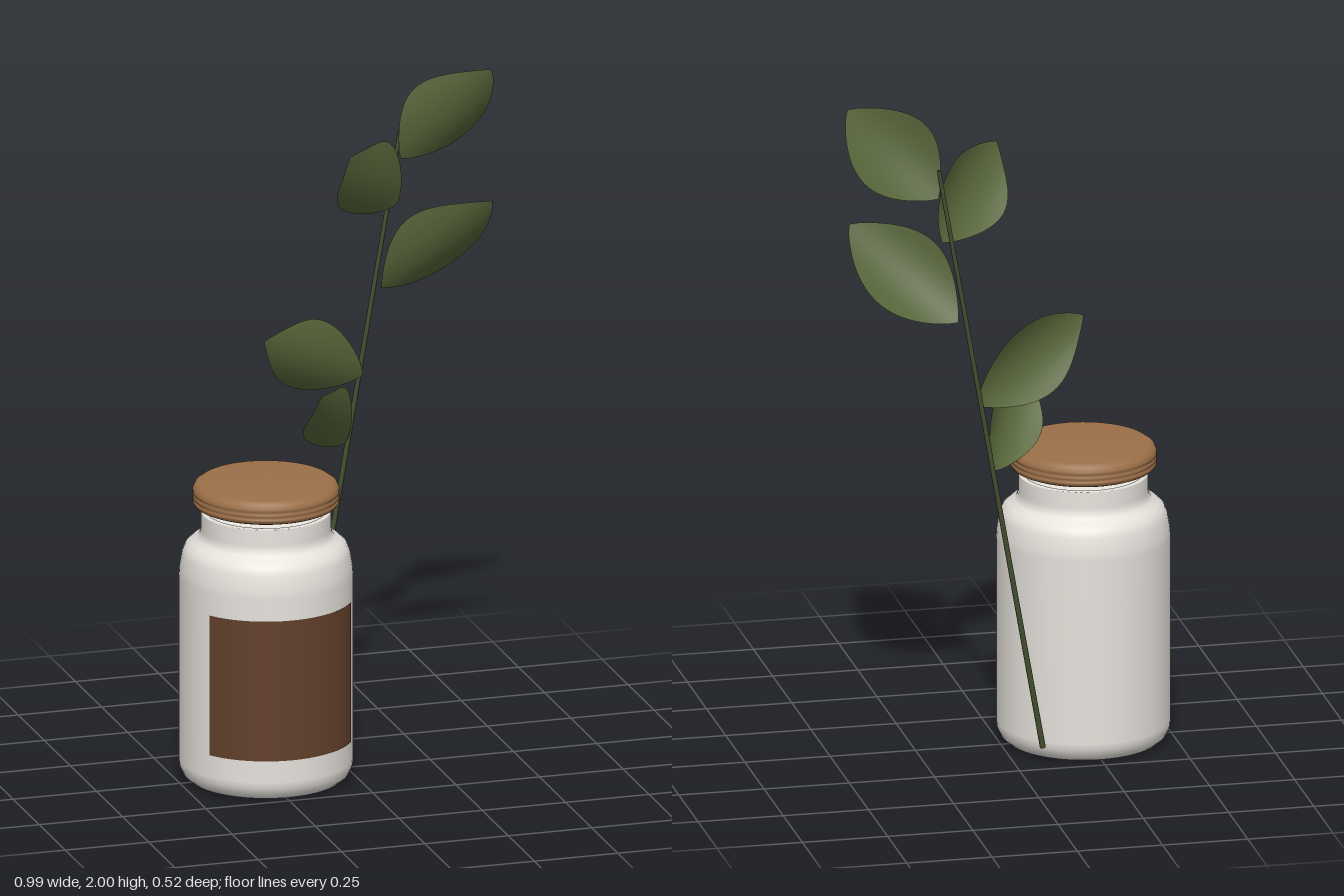
import * as THREE from 'three';

const mat = (name, color, side = THREE.FrontSide) => {
  const m = new THREE.MeshStandardMaterial({ color, side });
  m.name = name;
  return m;
};
const V = (x, y, z) => new THREE.Vector3(x, y, z);

export function createModel() {
  const ceramic = mat('white ceramic', 0xe6e2dc, THREE.DoubleSide);
  const cork = mat('cork brown', 0x9c7048);
  const paper = mat('dark brown label', 0x62402b, THREE.DoubleSide);
  const leafGreen = mat('leaf green', 0x566539, THREE.DoubleSide);
  const stemGreen = mat('stem green', 0x434e2e);

  const model = new THREE.Group();
  model.name = 'jarWithBranch';
  const add = (parent, name, geometry, material) => {
    const mesh = new THREE.Mesh(geometry, material);
    mesh.name = name;
    parent.add(mesh);
    return mesh;
  };
  const lathe = (pts) => new THREE.LatheGeometry(pts.map(([r, y]) => new THREE.Vector2(r, y)), 64);

  // Jar: body, neck and hollow top, with its lid and label
  const jar = new THREE.Group();
  jar.name = 'jar';
  jar.position.set(-0.245, 0, 0.01);
  model.add(jar);
  add(jar, 'body', lathe([
    [0, 0], [0.205, 0], [0.222, 0.004], [0.238, 0.018], [0.248, 0.04], [0.25, 0.06],
    [0.25, 0.61], [0.248, 0.635], [0.241, 0.675], [0.232, 0.697], [0.215, 0.712],
    [0.196, 0.722], [0.189, 0.735], [0.187, 0.75], [0.187, 0.797], [0.185, 0.8],
    [0.172, 0.8], [0.17, 0.795], [0.17, 0.73], [0, 0.72],
  ]), ceramic);
  add(jar, 'lid', lathe([
    [0, 0.818], [0.196, 0.818], [0.205, 0.822], [0.21, 0.83], [0.21, 0.835], [0.206, 0.839],
    [0.21, 0.843], [0.21, 0.85], [0.206, 0.854], [0.21, 0.858], [0.21, 0.866],
    [0.204, 0.879], [0.19, 0.888], [0, 0.892],
  ]), cork);
  const half = 1.0;
  add(jar, 'label', new THREE.CylinderGeometry(0.2525, 0.2525, 0.42, 40, 1, true, -half, 2 * half), paper)
    .position.y = 0.335;

  // Branch: straight stem standing behind the jar
  const branch = new THREE.Group();
  branch.name = 'branch';
  model.add(branch);
  const foot = V(-0.075, 0.055, -0.217), top = V(0.234, 1.82, -0.235);
  const along = top.clone().sub(foot);
  const stem = add(branch, 'stem', new THREE.CylinderGeometry(0.006, 0.0085, along.length(), 10), stemGreen);
  stem.position.copy(foot).add(top).multiplyScalar(0.5);
  stem.quaternion.setFromUnitVectors(V(0, 1, 0), along.clone().normalize());

  // Leaf: a pointed oval from base to tip, width vector across, edges cupped backward
  const leafGeometry = (base, tip, across) => {
    const g = new THREE.PlaneGeometry(1, 1, 12, 24);
    const p = g.attributes.position;
    const axis = tip.clone().sub(base);
    const normal = across.clone().cross(axis).normalize();
    for (let i = 0; i < p.count; i++) {
      const t = p.getY(i) + 0.5;
      const w = Math.pow(Math.max(0, Math.sin(Math.PI * t)), 0.85);
      const s = p.getX(i) * w;
      const q = base.clone().addScaledVector(axis, t).addScaledVector(across, s)
        .addScaledVector(normal, 0.012 * Math.sin(Math.PI * t) - 0.17 * s * s);
      p.setXYZ(i, q.x, q.y, q.z);
    }
    g.computeVertexNormals();
    return g;
  };
  const leaves = [
    ['topRightLeaf', V(0.235, 1.735, -0.235), V(0.487, 2.0, -0.165), V(0.19, -0.15, -0.05)],
    ['topLeftLeaf', V(0.222, 1.6, -0.228), V(0.015, 1.825, -0.018), V(0.17, 0.16, -0.05)],
    ['middleRightLeaf', V(0.175, 1.355, -0.225), V(0.465, 1.63, -0.09), V(0.18, -0.15, -0.07)],
    ['lowerLeftLeaf', V(0.118, 1.1, -0.222), V(-0.235, 1.29, -0.04), V(0.1, 0.19, 0)],
    ['lowestLeaf', V(0.065, 0.9, -0.222), V(-0.085, 1.13, 0.028), V(0.14, 0.12, -0.025)],
  ];
  for (const [name, base, tip, across] of leaves) {
    add(branch, name, leafGeometry(base, tip, across), leafGreen);
  }
  return model;
}
